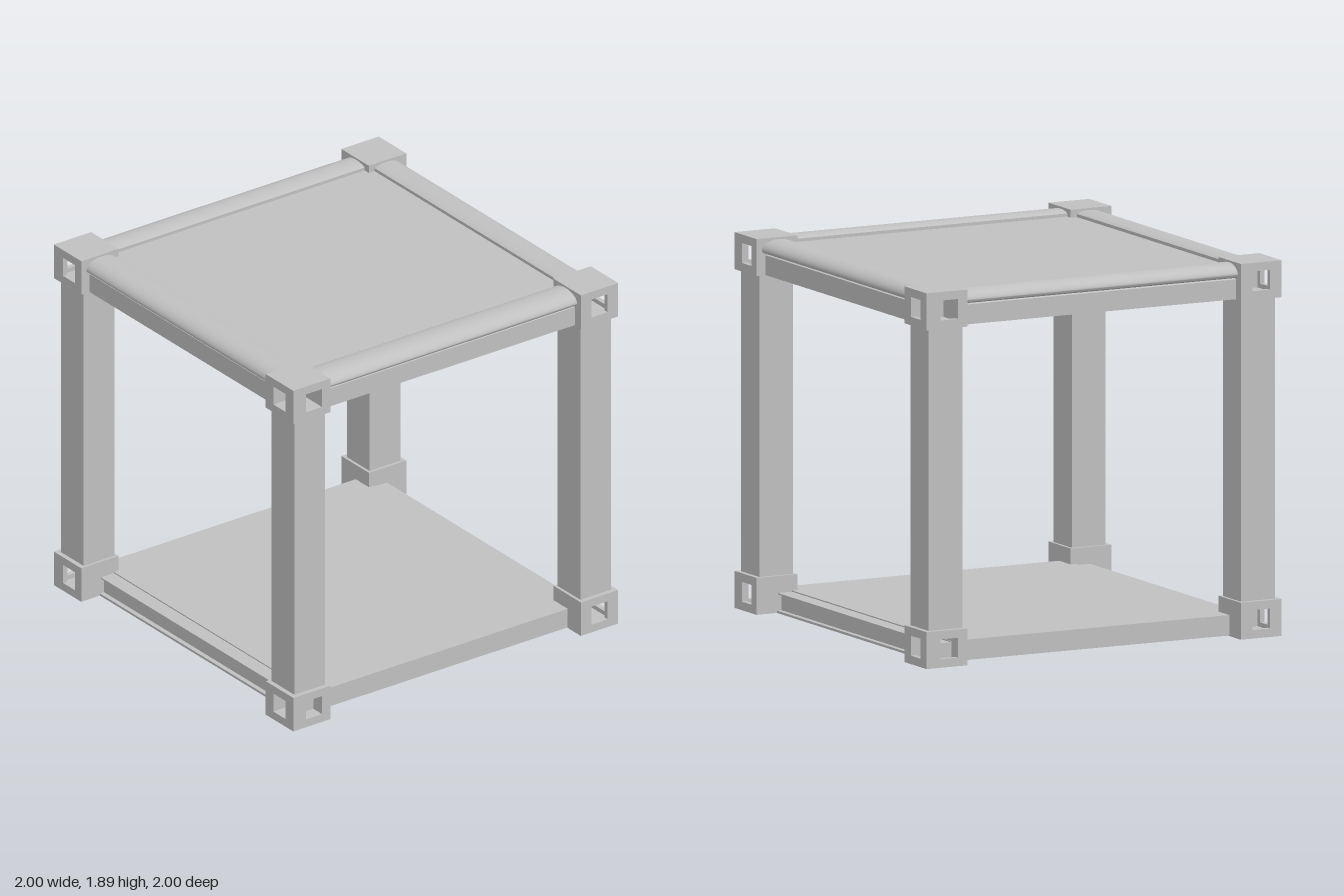
import * as THREE from 'three';
import { toCreasedNormals } from 'three/addons/utils/BufferGeometryUtils.js';

const grey = new THREE.MeshStandardMaterial({ color: 0xc0c0c0 });
grey.name = 'plain grey';

const W = 0.23, H = 0.186, T = 0.025, C = 0.885; // connector width, height, wall, centre
const TOP = 1.89;

function add(parent, name, geometry, x = 0, y = 0, z = 0) {
  const mesh = new THREE.Mesh(geometry, grey);
  mesh.name = name;
  mesh.position.set(x, y, z);
  parent.add(mesh);
  return mesh;
}

function box(parent, name, x0, x1, y0, y1, z0, z1) {
  return add(parent, name, new THREE.BoxGeometry(x1 - x0, y1 - y0, z1 - z0),
    (x0 + x1) / 2, (y0 + y1) / 2, (z0 + z1) / 2);
}

// Wall plate with a square socket hole
function socketWall(width) {
  const shape = new THREE.Shape();
  const a = width / 2, b = H / 2, h = 0.05;
  shape.moveTo(-a, -b).lineTo(a, -b).lineTo(a, b).lineTo(-a, b).closePath();
  const hole = new THREE.Path();
  hole.moveTo(-h, -h).lineTo(-h, h).lineTo(h, h).lineTo(h, -h).closePath();
  shape.holes.push(hole);
  return new THREE.ExtrudeGeometry(shape, { depth: T, bevelEnabled: false });
}

// Hollow corner connector, socket holes facing +x and +z
function connector() {
  const g = new THREE.Group();
  g.name = 'cornerConnector';
  const a = W / 2, b = H / 2;
  add(g, 'socketWallZ', socketWall(W), 0, 0, a - T);
  const side = socketWall(W - T);
  side.rotateY(Math.PI / 2);
  add(g, 'socketWallX', side, a - T, 0, -T / 2);
  box(g, 'innerWallX', -a, -a + T, -b, b, -a, a - T);
  box(g, 'innerWallZ', -a + T, a - T, -b, b, -a, -a + T);
  for (const s of [-1, 1]) {
    const cap = box(g, s > 0 ? 'topCap' : 'bottomCap', -a + T, a - T, b - 0.02, b, -a + T, a - T);
    cap.position.y *= s;
  }
  return g;
}

// Top beam: rounded cap over a groove and a flat lower bar, with a ledge inside
function beamGeometry() {
  const s = new THREE.Shape();
  s.moveTo(0.8, 1.705).lineTo(0.95, 1.705).lineTo(0.95, 1.805).lineTo(0.935, 1.81);
  s.bezierCurveTo(0.955, 1.812, 0.968, 1.818, 0.97, 1.832);
  s.bezierCurveTo(0.965, 1.858, 0.93, 1.88, 0.88, 1.88);
  s.quadraticCurveTo(0.835, 1.88, 0.805, 1.866);
  s.lineTo(0.805, 1.845).lineTo(0.77, 1.845).lineTo(0.77, 1.815).lineTo(0.8, 1.815).closePath();
  const g = new THREE.ExtrudeGeometry(s, { depth: 1.56, bevelEnabled: false, curveSegments: 10 });
  g.translate(0, 0, -0.78);
  g.rotateY(-Math.PI / 2);
  return toCreasedNormals(g, 0.6);
}

export function createModel() {
  const model = new THREE.Group();
  model.name = 'openCubeFrame';

  const beam = beamGeometry();
  for (let i = 0; i < 4; i++) {
    const corner = new THREE.Group();
    corner.name = 'frameQuarter';
    corner.rotation.y = i * Math.PI / 2;
    model.add(corner);

    // Connectors at the foot and head of each post
    for (const y of [H / 2, TOP - H / 2]) {
      const c = connector();
      c.position.set(C, y, C);
      corner.add(c);
    }
    box(corner, 'post', 0.785, 0.975, H - 0.01, TOP - H + 0.01, 0.785, 0.975);
    add(corner, 'topBeam', beam);
  }

  // Top panel set just below the beam caps
  box(model, 'topPanel', -0.805, 0.805, 1.838, 1.85, -0.805, 0.805);

  // Base deck, channelled along its left and right edges
  box(model, 'baseDeck', -0.8, 0.8, 0.003, 0.106, -0.88, 0.89);
  for (const s of [-1, 1]) {
    const strip = (name, x0, x1, y0, y1) => {
      const m = box(model, name, x0, x1, y0, y1, -0.88, 0.89);
      m.position.x *= s;
    };
    strip('deckTopLip', 0.8, 0.88, 0.093, 0.1);
    strip('deckEdgeWall', 0.8, 0.86, 0.012, 0.093);
    strip('deckBottomLip', 0.815, 0.885, 0, 0.012);
  }
  return model;
}
